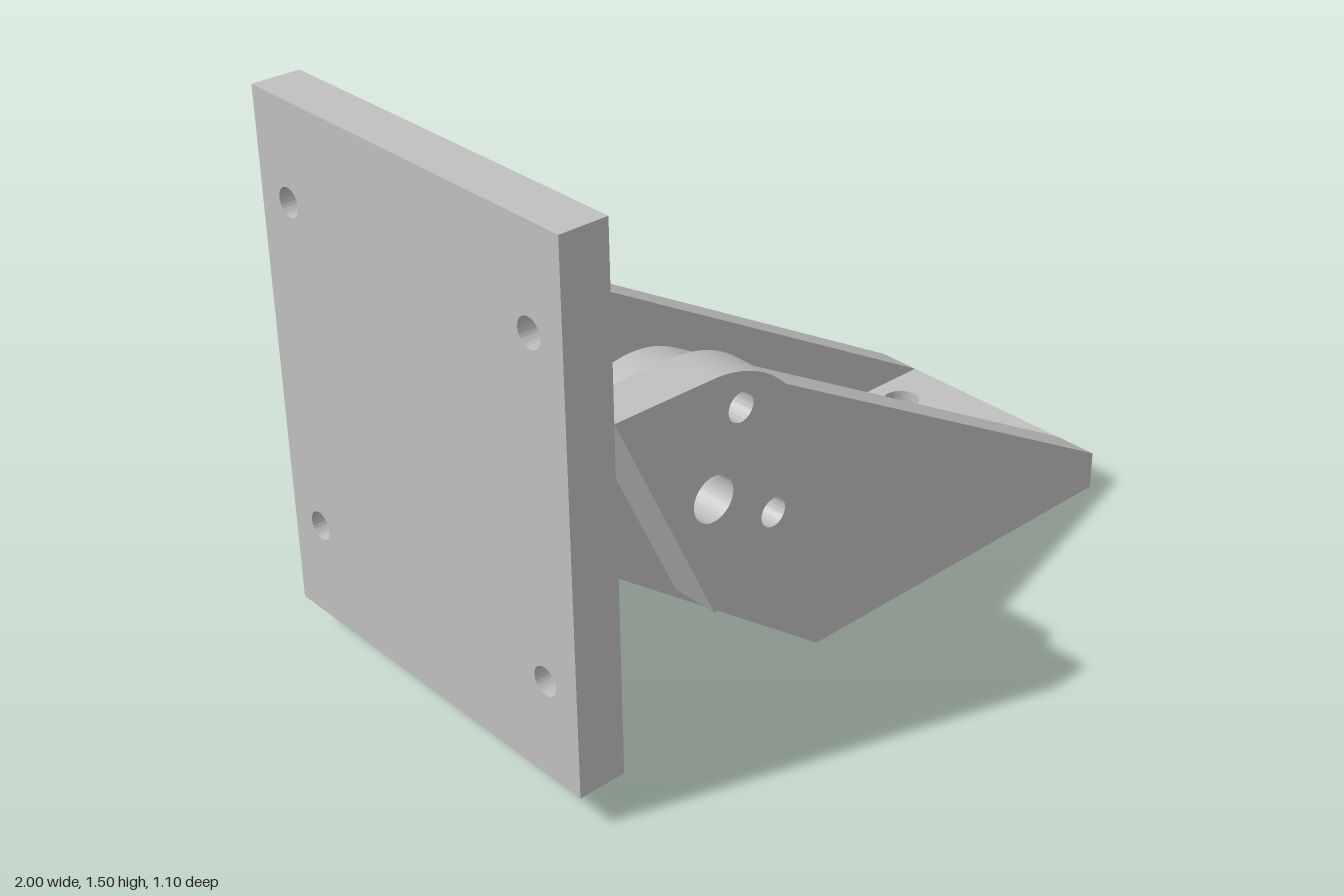
import * as THREE from 'three';
import { toCreasedNormals } from 'three/addons/utils/BufferGeometryUtils.js';

const PIVOT = { x: -0.587, y: 0.706 };

// adds round holes, each [x, y, radius], to a shape
function punch(shape, holes) {
  for (const [x, y, r] of holes) {
    const path = new THREE.Path();
    path.absarc(x, y, r, 0, Math.PI * 2, true);
    shape.holes.push(path);
  }
  return shape;
}

function rectangle(x0, y0, x1, y1) {
  const s = new THREE.Shape();
  s.moveTo(x0, y0);
  s.lineTo(x1, y0);
  s.lineTo(x1, y1);
  s.lineTo(x0, y1);
  s.closePath();
  return s;
}

function extrude(shape, depth) {
  return new THREE.ExtrudeGeometry(shape, { depth, bevelEnabled: false, curveSegments: 32 });
}

export function createModel() {
  const group = new THREE.Group();
  const metal = new THREE.MeshStandardMaterial({ color: 0xc0c0c0 });
  metal.name = 'plainGrey';

  function add(name, geometry) {
    const mesh = new THREE.Mesh(toCreasedNormals(geometry, 0.5), metal);
    mesh.name = name;
    group.add(mesh);
  }

  // wall plate in two layers: narrow bolt holes behind, wide counterbores in front
  const wallHoles = (r) => [-0.44, 0.44].flatMap((z) => [0.355, 1.235].map((y) => [z, y, r]));
  const layers = [
    ['wallPlateBack', -1, 0.07, 0.038],
    ['wallPlateFront', -0.93, 0.06, 0.07],
  ];
  for (const [name, x, thickness, radius] of layers) {
    const shape = punch(rectangle(-0.55, 0.09, 0.55, 1.496), wallHoles(radius));
    add(name, extrude(shape, thickness).rotateY(Math.PI / 2).translate(x, 0, 0));
  }

  // rounded ear fixed to the wall plate
  const ear = new THREE.Shape();
  ear.moveTo(-0.87, PIVOT.y - 0.307);
  ear.absarc(PIVOT.x, PIVOT.y, 0.307, -Math.PI / 2, Math.PI / 2, false);
  ear.lineTo(-0.87, PIVOT.y + 0.307);
  ear.closePath();
  punch(ear, [[PIVOT.x, PIVOT.y, 0.06], [-0.503, 0.91, 0.038], [-0.4, 0.59, 0.038]]);

  // tapered arm, its edges tangent to the round pivot end
  const arm = new THREE.Shape();
  arm.moveTo(-0.1, 0);
  arm.lineTo(1, 0);
  arm.lineTo(1, 0.11);
  arm.absarc(PIVOT.x, PIVOT.y, 0.265, 1.057, 4.069, false);
  arm.closePath();
  punch(arm, [[PIVOT.x, PIVOT.y, 0.06], [-0.4, 0.59, 0.038]]);

  // one ear and one arm on each side
  for (const [side, earZ, armZ] of [['left', 0.417, 0.275], ['right', -0.55, -0.405]]) {
    add(side + 'Ear', extrude(ear, 0.133).translate(0, 0, earZ));
    add(side + 'Arm', extrude(arm, 0.13).translate(0, 0, armZ));
  }

  // base plate between the arms
  const baseHoles = [0.063, 0.832].flatMap((x) => [-0.175, 0.175].map((z) => [x, z, 0.052]));
  const base = punch(rectangle(-0.1, -0.275, 1, 0.275), baseHoles);
  add('basePlate', extrude(base, 0.11).rotateX(Math.PI / 2).translate(0, 0.11, 0));

  return group;
}
